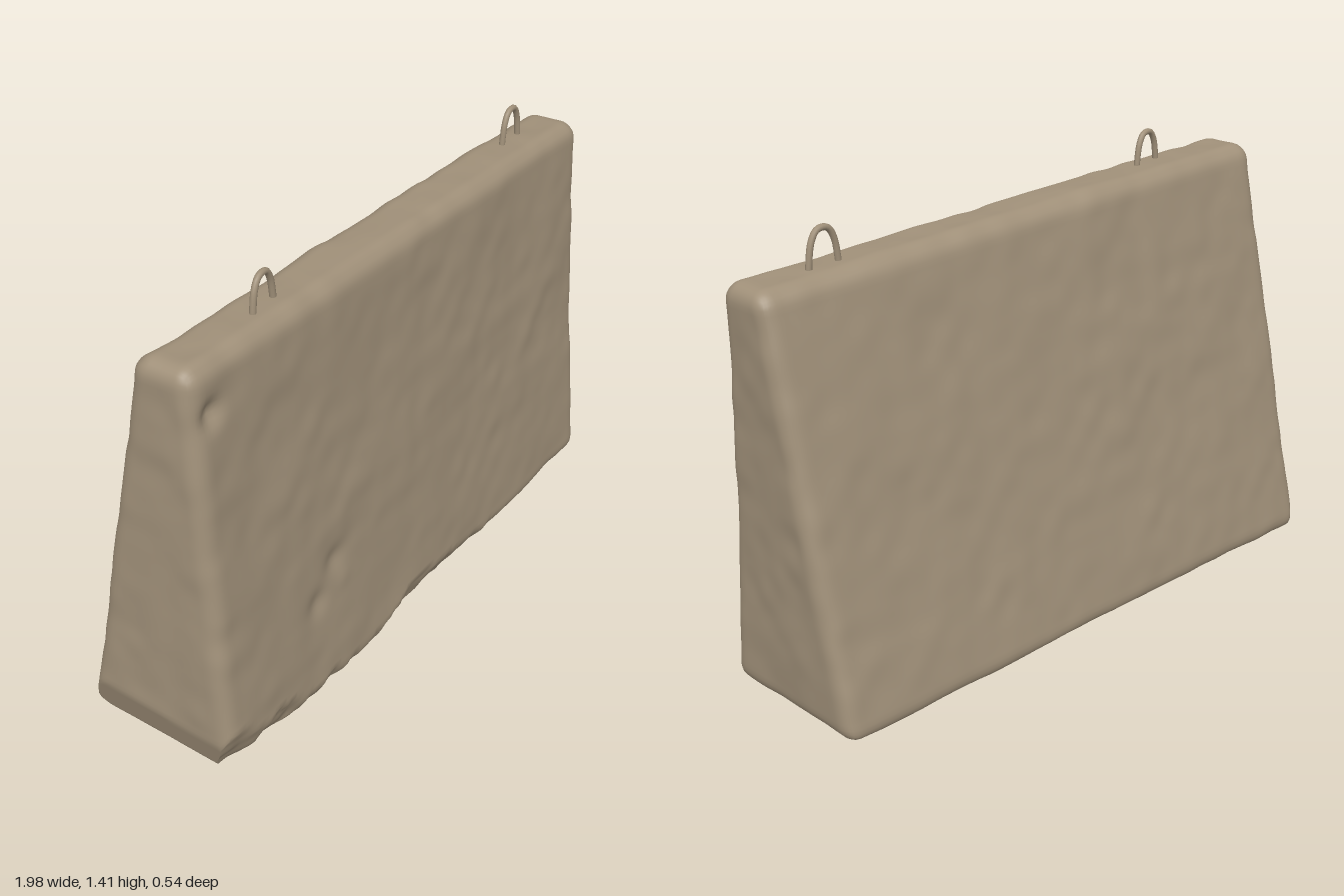
import * as THREE from 'three';
import { mergeVertices } from 'three/addons/utils/BufferGeometryUtils.js';

const { lerp, clamp, smoothstep } = THREE.MathUtils;

// Smooth seeded value noise in -1..1
function hash(x, y, z) {
  const s = Math.sin(x * 127.1 + y * 311.7 + z * 74.7) * 43758.5453;
  return (s - Math.floor(s)) * 2 - 1;
}
function noise(x, y, z) {
  const c = [x, y, z].map(Math.floor);
  const f = [x - c[0], y - c[1], z - c[2]].map((t) => t * t * (3 - 2 * t));
  const row = (j, k) => lerp(hash(c[0], c[1] + j, c[2] + k), hash(c[0] + 1, c[1] + j, c[2] + k), f[0]);
  return lerp(lerp(row(0, 0), row(1, 0), f[1]), lerp(row(0, 1), row(1, 1), f[1]), f[2]);
}

// Height of the worn strip along the bottom front edge: [x, height]
const WEAR = [[-1, 0.2], [-0.85, 0.13], [-0.6, 0.06], [-0.3, 0.05], [0, 0.11], [0.3, 0.06], [0.6, 0.03], [1.01, 0.03]];
function wearHeight(x) {
  const i = Math.max(1, WEAR.findIndex((p) => p[0] >= x));
  const [a, b] = [WEAR[i - 1], WEAR[i]];
  return lerp(a[1], b[1], smoothstep(x, a[0], b[0]));
}

// Dents in the front face: x, y, radius, depth
const DENTS = [[-0.87, 1.18, 0.05, 0.025], [-0.45, 0.45, 0.06, 0.014], [-0.54, 0.35, 0.06, 0.014], [-0.42, 0.36, 0.05, -0.006]];

// Tapered, rounded and weathered slab
function slabGeometry() {
  let geo = new THREE.BoxGeometry(2, 2, 2, 120, 80, 28);
  geo.deleteAttribute('uv');
  geo.deleteAttribute('normal');
  geo = mergeVertices(geo);
  const pos = geo.attributes.position;
  const p = new THREE.Vector3();
  const core = new THREE.Vector3();
  const hx = 0.99, hy = 0.65, r = 0.05;
  for (let i = 0; i < pos.count; i++) {
    p.fromBufferAttribute(pos, i);
    const t0 = (p.y + 1) / 2;
    const hz = lerp(0.272, 0.09, t0);
    p.set(p.x * hx, p.y * hy, p.z * hz);
    // round all edges
    core.set(clamp(p.x, r - hx, hx - r), clamp(p.y, r - hy, hy - r), clamp(p.z, r - hz, hz - r));
    p.sub(core);
    if (p.lengthSq() > 0) p.setLength(r);
    p.add(core);
    // lean of the faces, slanted ends and sloping top
    const t = (p.y + hy) / (2 * hy);
    const u = (p.x + hx) / (2 * hx);
    pos.setXYZ(i, lerp(lerp(-0.992, 0.972, u), lerp(-0.945, 0.993, u), t),
      lerp(0.01, lerp(1.326, 1.25, u), t), p.z + lerp(-0.003, 0.075, t));
  }
  geo.computeVertexNormals();
  // uneven surface, worn foot and dents
  const n = new THREE.Vector3();
  for (let i = 0; i < pos.count; i++) {
    p.fromBufferAttribute(pos, i);
    n.fromBufferAttribute(geo.attributes.normal, i);
    const d = 0.005 * noise(p.x * 5, p.y * 5, p.z * 5 + 7) + 0.003 * noise(p.x * 14, p.y * 14, p.z * 14);
    p.addScaledVector(n, d);
    const h = wearHeight(p.x) + 0.015 * noise(p.x * 12, 3, 5);
    if (p.z > 0.1 && p.y < h) {
      const limit = 0.262 - 0.5 * (h - p.y) + 0.008 * noise(p.x * 20, p.y * 20, 2);
      p.z = Math.min(p.z, limit);
    }
    // chipped lower left corner
    if (p.y < 0.2) p.x = Math.max(p.x, -0.995 + 0.3 * Math.max(0, 0.17 - p.y));
    if (n.z > 0.5) {
      for (const [x, y, rad, depth] of DENTS) {
        p.z -= depth * Math.exp(-((p.x - x) ** 2 + (p.y - y) ** 2) / (rad * rad * 0.5));
      }
    }
    pos.setXYZ(i, p.x, Math.max(0.002, p.y), p.z);
  }
  geo.computeVertexNormals();
  return geo;
}

// Bent bar sunk into the top
function loopGeometry(height, halfWidth) {
  const w = halfWidth;
  const path = new THREE.CatmullRomCurve3([
    [-w, -0.03], [-w * 0.95, 0.01], [-w * 0.75, height * 0.65], [-w * 0.4, height * 0.94], [0, height],
    [w * 0.4, height * 0.94], [w * 0.75, height * 0.65], [w * 0.95, 0.01], [w, -0.03],
  ].map(([x, y]) => new THREE.Vector3(x, y, 0)));
  return new THREE.TubeGeometry(path, 32, 0.0095, 10, false);
}

export function createModel() {
  const model = new THREE.Group();
  model.name = 'concreteBarrier';
  const concrete = new THREE.MeshStandardMaterial({ color: 0xa09079 });
  concrete.name = 'concrete';

  const slab = new THREE.Mesh(slabGeometry(), concrete);
  slab.name = 'slab';
  model.add(slab);

  // lifting loops: x, base y, z, height, turn
  const loops = [['rightLiftingLoop', -0.557, 1.31, 0.09, 0.096, 0.13], ['leftLiftingLoop', 0.735, 1.26, 0.061, 0.102, 0.05]];
  for (const [name, x, y, z, height, turn] of loops) {
    const loop = new THREE.Mesh(loopGeometry(height, 0.052), concrete);
    loop.name = name;
    loop.position.set(x, y, z);
    loop.rotation.y = turn;
    model.add(loop);
  }
  return model;
}
